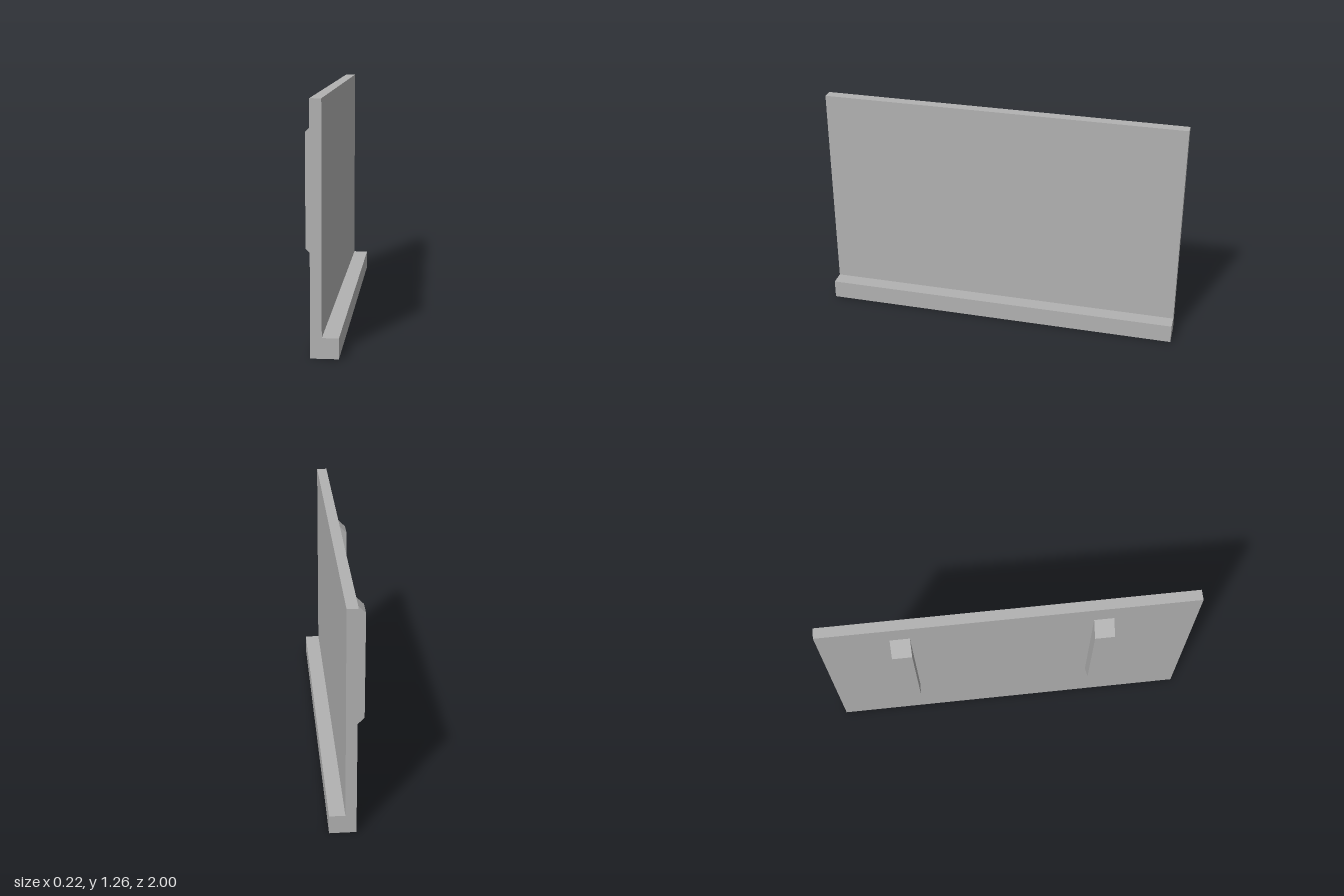
import * as THREE from 'three';

// Extrudes an x/y profile along z, centred on zCentre
function extrudeProfile(name, points, depth, zCentre, material) {
  const shape = new THREE.Shape(points.map(([x, y]) => new THREE.Vector2(x, y)));
  const geometry = new THREE.ExtrudeGeometry(shape, { depth, bevelEnabled: false });
  geometry.translate(0, 0, zCentre - depth / 2);
  const mesh = new THREE.Mesh(geometry, material);
  mesh.name = name;
  return mesh;
}

export function createModel() {
  const model = new THREE.Group();
  model.name = 'ledgedPanel';
  const grey = new THREE.MeshStandardMaterial({ color: 0xb2b2b2 });
  grey.name = 'grey';

  // Upright panel with a ledge along its foot, one L-shaped section
  model.add(extrudeProfile('panelWithLedge', [
    [-0.033, 0], [0.107, 0], [0.107, 0.104], [0.024, 0.104], [0.024, 1.26], [-0.033, 1.26],
  ], 2, 0, grey));

  // Two upright ribs with sloped ends on the rear face
  const ribProfile = [[-0.033, 0.371], [-0.033, 1.13], [-0.109, 1.054], [-0.109, 0.447]];
  for (const [name, z] of [['backRib', -0.572], ['frontRib', 0.497]]) {
    model.add(extrudeProfile(name, ribProfile, 0.106, z, grey));
  }
  return model;
}
